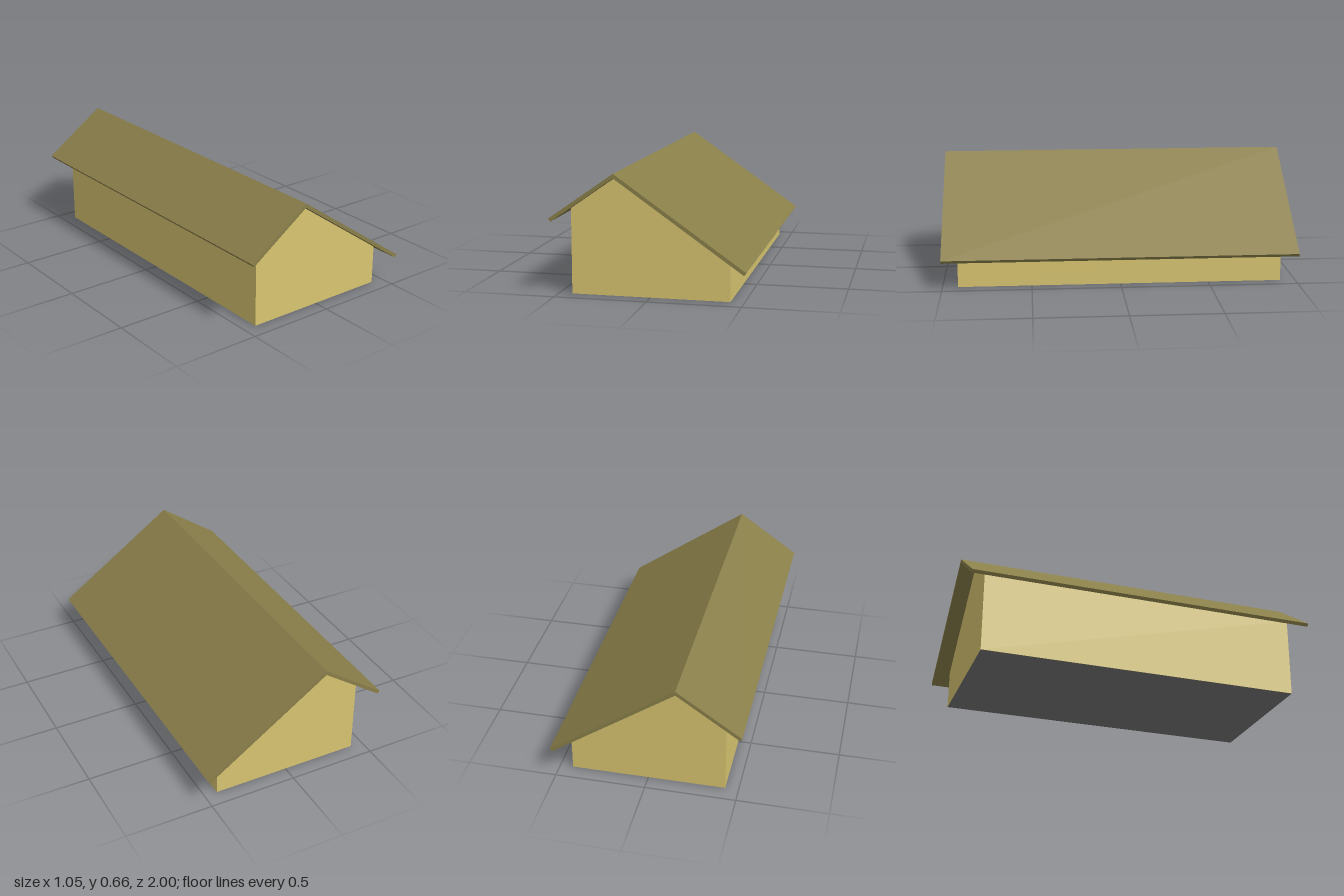
import * as THREE from 'three';

// Extrudes an x/y outline along z, centred on z = 0
function prism(name, points, length, color) {
  const shape = new THREE.Shape(points.map(([x, y]) => new THREE.Vector2(x, y)));
  const geometry = new THREE.ExtrudeGeometry(shape, { depth: length, bevelEnabled: false });
  geometry.translate(0, 0, -length / 2);
  const mesh = new THREE.Mesh(geometry, new THREE.MeshStandardMaterial({ color }));
  mesh.name = name;
  return mesh;
}

export function createModel() {
  const model = new THREE.Group();
  model.name = 'house';

  const ridgeX = -0.172, ridgeY = 0.64, slope = 0.698;
  const wallX = 0.427, wallLength = 1.826;
  const underRoof = (x) => ridgeY - slope * Math.abs(x - ridgeX);

  // Walls with off-centre gables
  model.add(prism('walls', [
    [-wallX, 0.001], [wallX, 0.001], [wallX, underRoof(wallX)],
    [ridgeX, ridgeY], [-wallX, underRoof(-wallX)],
  ], wallLength, 0xd8c571));

  // Floor, seen from below
  const floor = new THREE.Mesh(
    new THREE.PlaneGeometry(2 * wallX, wallLength).rotateX(Math.PI / 2),
    new THREE.MeshStandardMaterial({ color: 0x777777 }));
  floor.name = 'floor';
  model.add(floor);

  // Folded roof slab, eaves cut square to the slopes
  model.add(prism('roof', [
    [-0.513, underRoof(-0.513)], [ridgeX, ridgeY], [0.512, underRoof(0.512)],
    [0.523, 0.179], [ridgeX, 0.664], [-0.524, 0.418],
  ], 2, 0x8a7f4a));

  return model;
}
